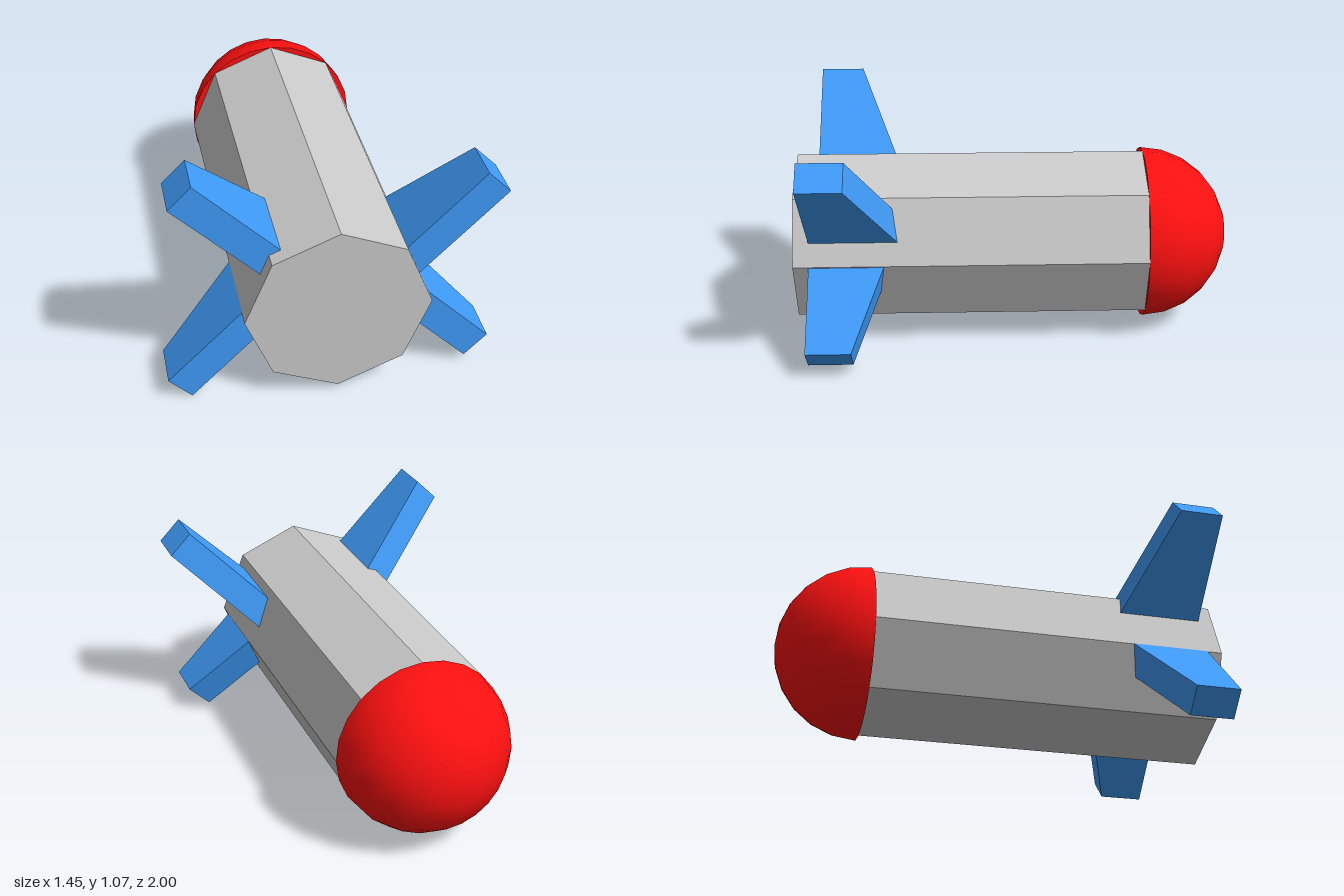
import * as THREE from 'three';

const AXIS_Y = 0.425;
const RADIUS = 0.4;

export function createModel() {
  const model = new THREE.Group();
  model.name = 'rocket';

  const grey = new THREE.MeshStandardMaterial({ color: 0xcccccc, flatShading: true });
  const red = new THREE.MeshStandardMaterial({ color: 0xff1010 });
  const blue = new THREE.MeshStandardMaterial({ color: 0x409cfa, flatShading: true });

  const add = (name, geometry, material, x, y, z) => {
    const mesh = new THREE.Mesh(geometry, material);
    mesh.name = name;
    mesh.position.set(x, y, z);
    model.add(mesh);
    return mesh;
  };

  // Eight-sided body lying along z
  const body = new THREE.CylinderGeometry(RADIUS, RADIUS, 1.6, 8).rotateX(Math.PI / 2);
  add('body', body, grey, 0, AXIS_Y, 0.2);

  // Rounded nose pointing to -z, closed by a flat disc
  const nose = new THREE.SphereGeometry(RADIUS, 24, 6, 0, Math.PI * 2, 0, Math.PI / 2).rotateX(-Math.PI / 2);
  add('nose', nose, red, 0, AXIS_Y, -0.6);
  add('noseBase', new THREE.CircleGeometry(RADIUS, 24), red, 0, AXIS_Y, -0.6);

  // Swept fin: tip at the origin, running inward along -x, chord along z
  const finGeometry = (sweep) => {
    const length = 0.6, thickness = 0.14;
    const outline = new THREE.Shape([
      new THREE.Vector2(0, 0.73),
      new THREE.Vector2(0, 0.93),
      new THREE.Vector2(-length, 0.93),
      new THREE.Vector2(-length, 0.73 - length * sweep),
    ]);
    return new THREE.ExtrudeGeometry(outline, { depth: thickness, bevelEnabled: false })
      .translate(0, 0, -thickness / 2)
      .rotateX(Math.PI / 2);
  };

  // Four diagonal fins, each a little off-centre: tip x, tip y, angle, sweep
  const fins = [
    ['upperLeftFin', 0.677, 0.942, 45, 0.38],
    ['upperRightFin', -0.635, 1.03, 135, 0.354],
    ['lowerRightFin', -0.673, 0.055, 225, 0.337],
    ['lowerLeftFin', 0.635, 0.085, 315, 0.337],
  ];
  for (const [name, x, y, angle, sweep] of fins) {
    add(name, finGeometry(sweep), blue, x, y, 0).rotation.z = THREE.MathUtils.degToRad(angle);
  }

  return model;
}
